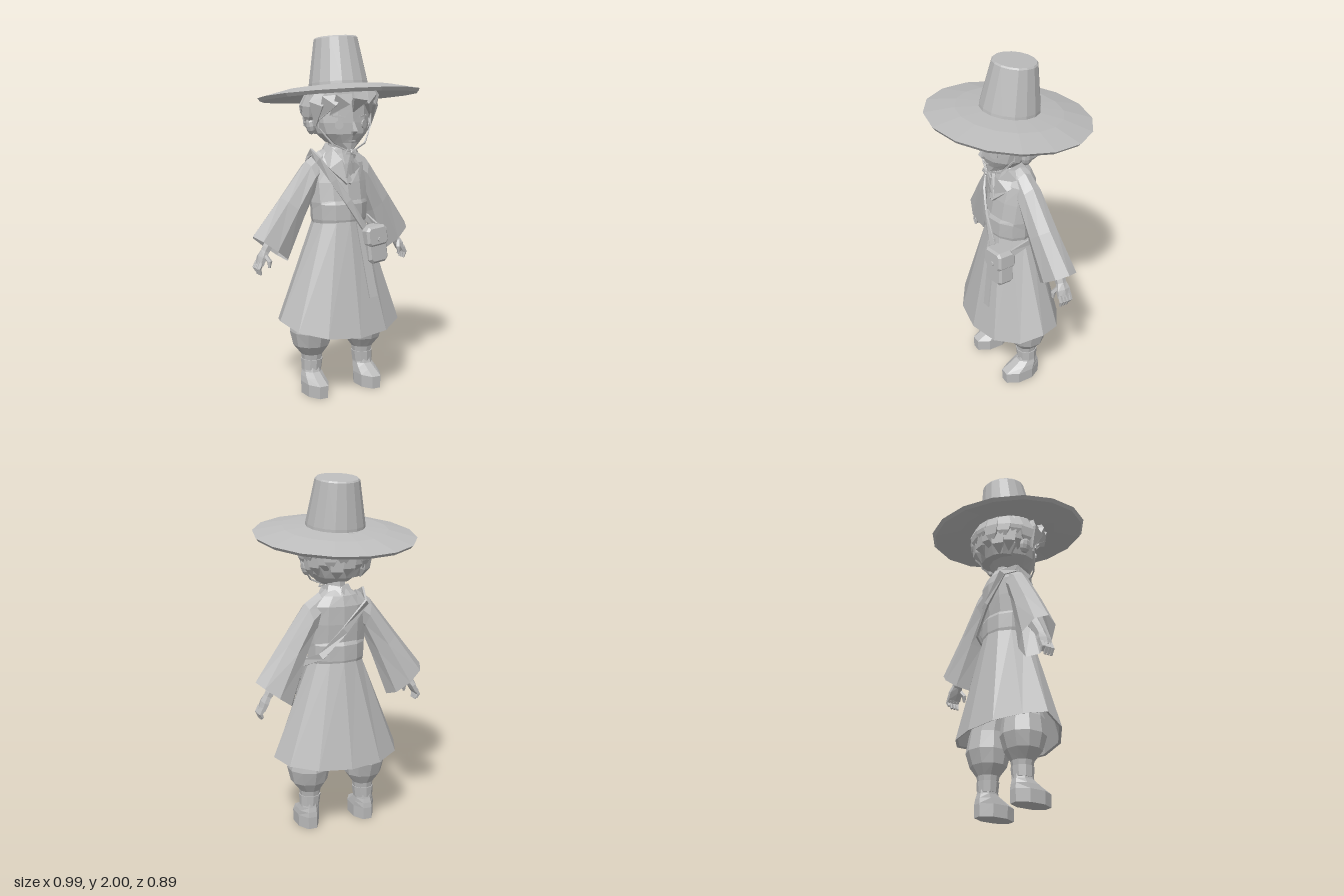
import * as THREE from 'three';

const cloth = new THREE.MeshStandardMaterial({ color: 0xbcbcbc, side: THREE.DoubleSide });
cloth.name = 'plainGrey';

const V = (p) => new THREE.Vector3(...p);

function part(parent, name, geometry) {
  const g = geometry.index ? geometry.toNonIndexed() : geometry;
  g.computeVertexNormals(); // faceted look
  const mesh = new THREE.Mesh(g, cloth);
  mesh.name = name;
  parent.add(mesh);
  return mesh;
}

// Skin a list of equal-length rings, with optional flat end caps
function loft(rings, capStart = true, capEnd = true) {
  const n = rings[0].length, pos = [];
  const tri = (a, b, c) => pos.push(...a, ...b, ...c);
  for (let i = 0; i < rings.length - 1; i++) {
    for (let j = 0; j < n; j++) {
      const k = (j + 1) % n, lo = rings[i], hi = rings[i + 1];
      tri(lo[j], lo[k], hi[k]);
      tri(lo[j], hi[k], hi[j]);
    }
  }
  for (let j = 1; j < n - 1; j++) {
    const s = rings[0], e = rings[rings.length - 1];
    if (capStart) tri(s[0], s[j + 1], s[j]);
    if (capEnd) tri(e[0], e[j], e[j + 1]);
  }
  const g = new THREE.BufferGeometry();
  g.setAttribute('position', new THREE.Float32BufferAttribute(pos, 3));
  return g;
}

// Horizontal oval ring; angle 0 is the front
function oval(n, [y, rx, rz, cx = 0, cz = 0], phase = 0) {
  return Array.from({ length: n }, (_, j) => {
    const a = ((j + phase) / n) * Math.PI * 2;
    return V([cx + rx * Math.sin(a), y, cz + rz * Math.cos(a)]);
  });
}
const ovals = (n, rows, phase = 0) => rows.map((r) => oval(n, r, phase));

// Sweep a flattened n-gon along points: w = half widths, d = half depth, out(p) = facing direction
function sweep(points, w, d, out, n = 4) {
  const P = points.map(V), grow = 1 / Math.cos(Math.PI / n);
  return loft(P.map((p, i) => {
    const t = P[Math.min(i + 1, P.length - 1)].clone().sub(P[Math.max(i - 1, 0)]).normalize();
    const side = t.clone().cross(out(p)).normalize();
    const up = side.clone().cross(t);
    const wi = Array.isArray(w) ? w[i] : w, di = Array.isArray(d) ? d[i] : d;
    return Array.from({ length: n }, (_, j) => {
      const a = ((j + 0.5) / n) * Math.PI * 2;
      return p.clone().addScaledVector(side, -Math.cos(a) * wi * grow).addScaledVector(up, Math.sin(a) * di * grow);
    });
  }));
}
const radial = (p) => new THREE.Vector3(p.x, 0, p.z + 0.001);
const forward = () => new THREE.Vector3(0, 0.1, 1);
const sideways = () => new THREE.Vector3(1, 0, 0);

function buildHat(root) {
  const hat = new THREE.Group();
  hat.name = 'hat';
  hat.position.y = 1.71;
  hat.rotation.x = -0.12;
  const profile = (pts) => pts.map(([r, y]) => new THREE.Vector2(r, y));
  part(hat, 'brim', new THREE.LatheGeometry(profile(
    [[0.1, -0.006], [0.28, -0.018], [0.435, -0.05], [0.45, -0.032], [0.29, 0.004], [0.15, 0.016]]), 16));
  part(hat, 'crown', new THREE.LatheGeometry(profile(
    [[0.165, 0.0], [0.163, 0.03], [0.122, 0.268], [0.115, 0.276], [0, 0.276]]), 16));
  root.add(hat);
}

function buildHead(root) {
  const head = new THREE.Group();
  head.name = 'head';
  root.add(head);
  part(head, 'neck', loft(ovals(8, [[1.33, 0.055, 0.055, 0, -0.02], [1.46, 0.05, 0.05, 0, -0.015]])));
  part(head, 'face', loft(ovals(12, [
    [1.385, 0.03, 0.025, 0, 0.11], [1.42, 0.095, 0.1, 0, 0.04], [1.47, 0.145, 0.135, 0, 0.025],
    [1.53, 0.165, 0.15, 0, 0.01], [1.6, 0.165, 0.155], [1.7, 0.15, 0.15]])));
  part(head, 'nose', sweep([[0, 1.535, 0.155], [0, 1.485, 0.175], [0, 1.465, 0.158]], [0.006, 0.014, 0.008], [0.004, 0.01, 0.004], forward));
  part(head, 'mouth', new THREE.BoxGeometry(0.04, 0.006, 0.008)).position.set(0, 1.432, 0.145);

  part(head, 'hairCap', loft(ovals(12, [
    [1.46, 0.12, 0.09, 0, -0.06], [1.52, 0.155, 0.13, 0, -0.05], [1.6, 0.178, 0.165, 0, -0.025], [1.7, 0.17, 0.17]])));
  // Two staggered layers of pointed locks around the sides and back
  for (let layer = 0; layer < 2; layer++) {
    for (let i = 0; i < 9 + layer; i++) {
      const a = Math.PI + (i - 4 - layer / 2) * 0.36;
      const at = (y, r) => [Math.sin(a) * r, y, Math.cos(a) * r - 0.01];
      const tip = 1.455 + layer * 0.055 + (i % 3) * 0.018;
      part(head, 'backLock', sweep([at(1.7, 0.155), at(1.61, 0.178 + layer * 0.01), at(tip + 0.05, 0.175 + layer * 0.015), at(tip, 0.145 + layer * 0.035)],
        [0.03, 0.045, 0.032, 0.002], [0.012, 0.02, 0.014, 0.002], radial));
    }
  }
  part(head, 'centreFringe', sweep([[0.015, 1.71, 0.18], [0.01, 1.66, 0.212], [-0.005, 1.59, 0.165]], [0.04, 0.045, 0.003], [0.015, 0.015, 0.003], radial));

  for (const s of [1, -1]) {
    const side = s > 0 ? 'left' : 'right';
    const eye = part(head, side + 'Eye', new THREE.CylinderGeometry(0.024, 0.024, 0.008, 12));
    eye.rotation.set(Math.PI / 2, 0, -s * 0.5);
    eye.position.set(s * 0.078, 1.52, 0.142);
    part(head, side + 'Brow', sweep([[s * 0.045, 1.562, 0.155], [s * 0.11, 1.568, 0.122]], 0.005, 0.004, radial));
    const ear = part(head, side + 'Ear', new THREE.SphereGeometry(1, 8, 6));
    ear.scale.set(0.022, 0.048, 0.034);
    ear.position.set(s * 0.178, 1.51, 0.0);
    ear.rotation.z = -s * 0.2;
    // Fringe locks parted to each side
    const locks = [
      [[0.04, 1.71, 0.175], [0.085, 1.66, 0.195], [0.125, 1.57, 0.125]],
      [[0.09, 1.71, 0.155], [0.14, 1.65, 0.15], [0.168, 1.55, 0.085]],
      [[0.13, 1.7, 0.09], [0.18, 1.63, 0.085], [0.175, 1.51, 0.055]]];
    for (const pts of locks) {
      part(head, side + 'Fringe', sweep(pts.map(([x, y, z]) => [s * x, y, z]), [0.04, 0.045, 0.003], [0.014, 0.016, 0.003], radial));
    }
    // Hat cord, knot loop and hanging tail
    part(head, side + 'Cord', sweep([[s * 0.172, 1.68, 0.06], [s * 0.162, 1.5, 0.07], [s * 0.1, 1.415, 0.115], [0, 1.368, 0.14]], 0.004, 0.004, radial));
    part(head, side + 'BowLoop', sweep([[0, 1.37, 0.142], [s * 0.025, 1.385, 0.145], [s * 0.04, 1.365, 0.142], [0, 1.365, 0.142]], 0.006, 0.004, forward));
    part(head, side + 'CordTail', sweep([[0, 1.368, 0.14], [s * 0.012, 1.31, 0.137], [s * 0.022, 1.24 + s * 0.012, 0.127]], 0.006, 0.003, forward));
  }
  part(head, 'cordKnot', new THREE.IcosahedronGeometry(0.013)).position.set(0, 1.368, 0.142);
}

function buildRobe(root) {
  const robe = new THREE.Group();
  robe.name = 'robe';
  root.add(robe);
  part(robe, 'torso', loft(ovals(12, [
    [0.97, 0.155, 0.122], [1.09, 0.172, 0.12], [1.2, 0.172, 0.115, 0, -0.015], [1.3, 0.17, 0.1, 0, -0.03],
    [1.355, 0.11, 0.078, 0, -0.035], [1.39, 0.06, 0.055, 0, -0.025]])));
  part(robe, 'sash', loft(ovals(12, [[0.975, 0.158, 0.128], [0.995, 0.163, 0.133], [1.08, 0.168, 0.133], [1.1, 0.165, 0.122]])));
  // Skirt hem dips at the front and back
  const hem = oval(12, [0.44, 0.372, 0.248]);
  hem.forEach((p) => { p.y -= (p.z > 0 ? 0.36 : 0.16) * Math.abs(p.z); });
  const fold = hem.map((p) => new THREE.Vector3(p.x * 0.95, p.y + 0.005, p.z * 0.95));
  part(robe, 'skirt', loft([fold, hem, oval(12, [0.985, 0.154, 0.13])], false, false));
  part(robe, 'sashTail', sweep([[0.055, 0.985, 0.142], [0.1, 0.565, 0.213]], 0.025, 0.004, forward));

  for (const s of [1, -1]) {
    const side = s > 0 ? 'left' : 'right';
    part(robe, side + 'Collar', sweep([[0, 1.375, -0.09], [s * 0.062, 1.38, -0.055], [s * 0.082, 1.35, 0.025], [s * 0.06, 1.3, 0.075], [-s * 0.004, 1.2, 0.11]],
      [0.025, 0.03, 0.045, 0.042, 0.02], 0.008, (p) => new THREE.Vector3(p.x, 0.05, p.z)));

    const arm = new THREE.Group();
    arm.name = side + 'Arm';
    arm.scale.x = s;
    robe.add(arm);
    // Sleeve sections: outer x, y, inner x, y, front z, back z
    const sections = [
      [0.27, 0.82, 0.45, 0.96 - 0.02, 0, -0.15],
      [0.285, 0.757, 0.495, 0.915, 0.02, -0.17],
      [0.2, 1.0, 0.34, 1.12, 0.035, -0.13],
      [0.14, 1.15, 0.192, 1.315, 0.042, -0.105],
      [0.09, 1.2, 0.11, 1.37, 0.03, -0.09]];
    const rings = sections.map(([ix, iy, ox, oy, zf, zb]) => Array.from({ length: 8 }, (_, j) => {
      const a = (j / 8) * Math.PI * 2, u = (1 + Math.sin(a)) / 2;
      return V([ix + (ox - ix) * u, iy + (oy - iy) * u, (zf + zb) / 2 + Math.cos(a) * (zf - zb) / 2]);
    }));
    part(arm, 'sleeve', loft(rings.slice(1), false, true));
    part(arm, 'forearm', sweep([[0.33, 0.96, -0.07], [0.415, 0.845, -0.07], [0.43, 0.82, -0.07]], [0.035, 0.028, 0.026], [0.035, 0.024, 0.02], sideways, 6));
    part(arm, 'palm', sweep([[0.425, 0.83, -0.07], [0.445, 0.795, -0.07], [0.463, 0.755, -0.07]], [0.026, 0.038, 0.038], [0.02, 0.021, 0.015], sideways, 6));
    for (let f = 0; f < 4; f++) {
      const z = -0.042 - f * 0.019, drop = f === 3 ? 0.012 : 0;
      part(arm, 'finger', sweep([[0.46, 0.77, z], [0.477, 0.738, z], [0.466, 0.704 + drop, z]], [0.01, 0.01, 0.006], [0.012, 0.011, 0.006], sideways, 5));
    }
    part(arm, 'thumb', sweep([[0.435, 0.808, -0.045], [0.42, 0.775, -0.025], [0.424, 0.742, -0.022]], [0.011, 0.012, 0.006], [0.011, 0.012, 0.006], sideways, 5));
  }
}

function buildBag(root) {
  part(root, 'frontStrap', sweep([[-0.15, 1.365, -0.045], [-0.15, 1.325, 0.045], [-0.09, 1.215, 0.105], [-0.02, 1.1, 0.142], [0.075, 0.95, 0.152]], 0.019, 0.006, radial));
  part(root, 'backStrap', sweep([[-0.15, 1.365, -0.035], [-0.135, 1.315, -0.125], [0, 1.17, -0.14], [0.13, 1.03, -0.118], [0.19, 0.975, -0.01], [0.19, 0.94, 0.1]], 0.019, 0.006, radial));
  const bag = new THREE.Group();
  bag.name = 'shoulderBag';
  bag.position.set(0.138, 0.853, 0.145);
  bag.rotation.set(-0.08, 0.12, 0.09);
  root.add(bag);
  // Chamfered block centred on z
  const block = (x0, x1, y0, y1, depth, c) => {
    const shape = new THREE.Shape([[x0 + c, y0], [x1 - c, y0], [x1, y0 + c], [x1, y1 - c], [x1 - c, y1], [x0 + c, y1], [x0, y1 - c], [x0, y0 + c]]
      .map((p) => new THREE.Vector2(...p)));
    const b = 0.012;
    return new THREE.ExtrudeGeometry(shape, { depth: depth - 2 * b, bevelThickness: b, bevelSize: b, bevelOffset: -b, bevelSegments: 1 })
      .translate(0, 0, b - depth / 2);
  };
  part(bag, 'pouch', block(-0.066, 0.066, -0.105, 0.09, 0.095, 0.022));
  part(bag, 'flap', block(-0.072, 0.072, -0.01, 0.102, 0.115, 0.02));
  const button = part(bag, 'button', new THREE.CylinderGeometry(0.014, 0.014, 0.012, 8));
  button.rotation.x = Math.PI / 2;
  button.position.set(0.005, 0.025, 0.06);
}

function buildLegs(root) {
  for (const s of [1, -1]) {
    const leg = new THREE.Group();
    leg.name = s > 0 ? 'leftLeg' : 'rightLeg';
    leg.scale.x = s;
    root.add(leg);
    part(leg, 'trouser', loft(ovals(10, [
      [0.19, 0.056, 0.056, 0.165, -0.018], [0.225, 0.062, 0.062, 0.165, -0.018], [0.28, 0.105, 0.1, 0.168, -0.015],
      [0.36, 0.122, 0.125, 0.17, -0.015], [0.46, 0.108, 0.115, 0.165, -0.01], [0.62, 0.08, 0.09, 0.12]])));
    part(leg, 'ankleBand', loft(ovals(10, [[0.135, 0.057, 0.057, 0.168, -0.018], [0.195, 0.062, 0.062, 0.165, -0.018]])));
    part(leg, 'boot', loft(ovals(8, [
      [0, 0.066, 0.118, 0.172, 0.028], [0.07, 0.068, 0.12, 0.172, 0.028], [0.1, 0.062, 0.088, 0.171, 0.002],
      [0.125, 0.055, 0.062, 0.169, -0.016], [0.15, 0.053, 0.056, 0.167, -0.018]], 0.5)));
  }
}

export function createModel() {
  const root = new THREE.Group();
  root.name = 'hattedTraveller';
  buildHat(root);
  buildHead(root);
  buildRobe(root);
  buildBag(root);
  buildLegs(root);
  return root;
}
